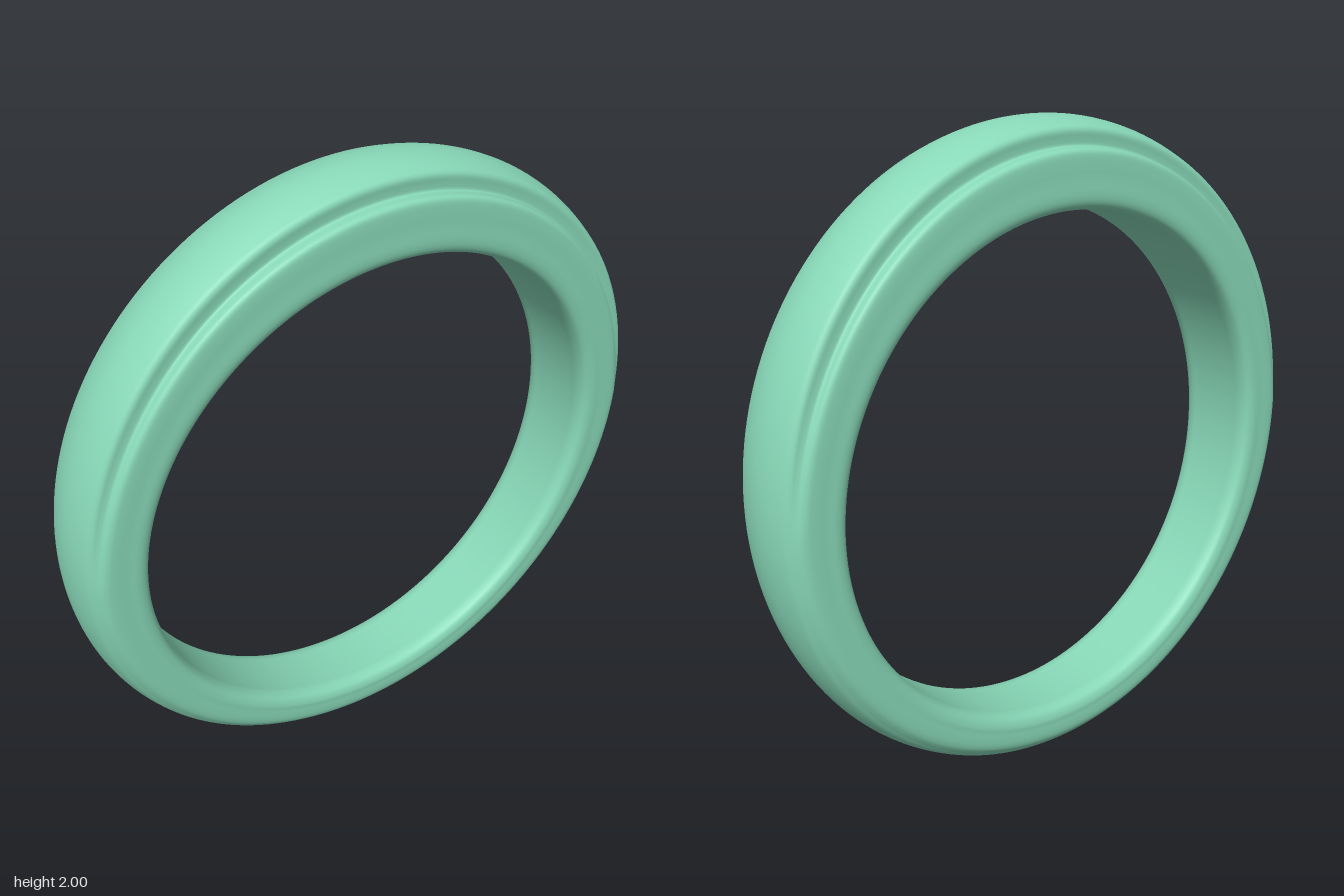
import * as THREE from 'three';

const SEGMENTS = 180; // steps around the ring
const SAMPLES = 128;  // steps around the cross-section

// Half cross-section [z, radius] from the crown's centre to the bore's centre.
// s is the sine of the angle around the ring: -1 at the bottom, +1 at the top.
function halfSection(s) {
  const R = 0.988 + 0.012 * s * s;                                        // outer radius
  const bore = -0.05 * s + Math.sqrt(0.624 - 0.0025 * (1 - s * s));       // off-centre hole
  const W = 0.1465 + 0.0185 * s;                                         // half width
  const k = W / 0.1475;
  // rounded edge of the plain band: [z, drop below R]
  const plain = [[0.055, 0.006], [0.1, 0.02], [0.113, 0.028], [0.122, 0.036], [0.128, 0.041],
    [0.134, 0.047], [0.139, 0.053], [0.143, 0.061], [0.146, 0.072], [0.1475, 0.09]];
  // raised crown with a stepped shoulder
  const stepped = [[0.055, 0.006], [0.1, 0.02], [0.117, 0.028], [0.1235, 0.04], [0.1225, 0.062],
    [0.1235, 0.079], [0.13, 0.0825], [W - 0.011, 0.085], [W - 0.003, 0.093], [W, 0.11]];
  const up = Math.max(0, s);
  const t = up * (2 - up); // the step fades in over the upper half
  const edge = plain.map(([z, d], i) => [
    THREE.MathUtils.lerp(z * k, stepped[i][0], t),
    R - THREE.MathUtils.lerp(d, stepped[i][1], t),
  ]);
  const faceTop = edge[edge.length - 1][1];
  return [
    [0, R],
    ...edge,
    [W, (faceTop + bore + 0.035) / 2],
    [W, bore + 0.035],
    [W - 0.01, bore + 0.012],
    [W - 0.035, bore + 0.001],
    [W / 2, bore],
    [0, bore],
  ];
}

// Closed smooth cross-section, mirrored across z
function section(s) {
  const half = halfSection(s);
  const mirrored = half.slice(1, -1).reverse().map(([z, r]) => [-z, r]);
  const points = [...half, ...mirrored].map(([z, r]) => new THREE.Vector3(z, r, 0));
  const curve = new THREE.CatmullRomCurve3(points, true, 'centripetal');
  return curve.getPoints(SAMPLES).slice(0, SAMPLES);
}

function bandGeometry() {
  const positions = [];
  const indices = [];
  for (let i = 0; i < SEGMENTS; i++) {
    const a = (i / SEGMENTS) * Math.PI * 2;
    const c = Math.cos(a);
    const s = Math.sin(a);
    const next = (i + 1) % SEGMENTS;
    section(s).forEach(({ x: z, y: r }, j) => {
      // the band leans slightly forward towards the top
      positions.push(r * c, 1 + r * s, z + 0.033 * r * s - 0.017);
      const j2 = (j + 1) % SAMPLES;
      const p = i * SAMPLES + j;
      const q = next * SAMPLES + j;
      const p2 = i * SAMPLES + j2;
      const q2 = next * SAMPLES + j2;
      indices.push(p, q, p2, q, q2, p2);
    });
  }
  const geometry = new THREE.BufferGeometry();
  geometry.setAttribute('position', new THREE.Float32BufferAttribute(positions, 3));
  geometry.setIndex(indices);
  geometry.computeVertexNormals();
  return geometry;
}

export function createModel() {
  const group = new THREE.Group();
  group.name = 'ring';
  const band = new THREE.Mesh(bandGeometry(), new THREE.MeshStandardMaterial({ color: 0x88d8b8 }));
  band.name = 'band';
  group.add(band);
  return group;
}
